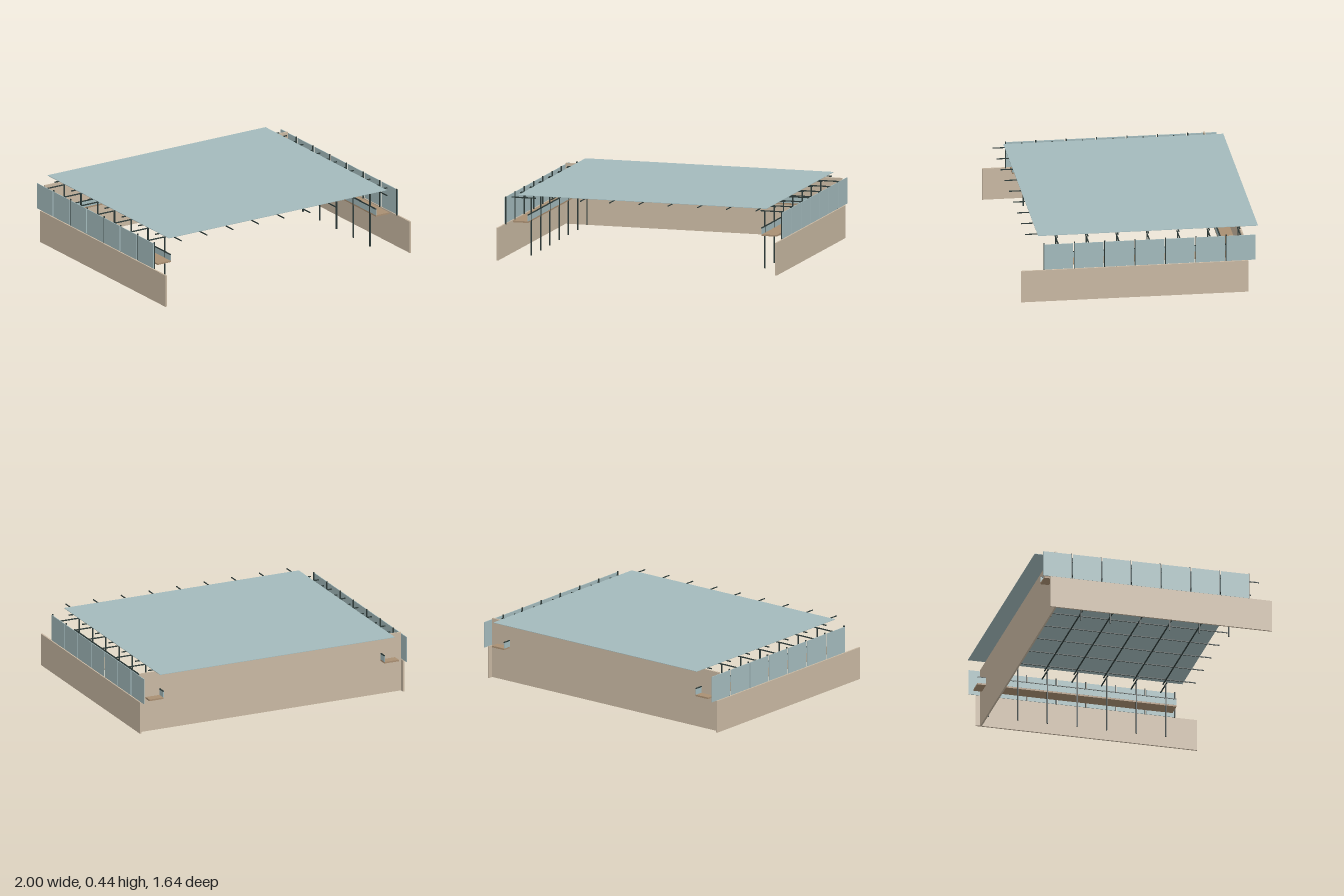
import * as THREE from 'three';

const mat = (name, color, side = THREE.FrontSide) => {
  const m = new THREE.MeshStandardMaterial({ color, side });
  m.name = name;
  return m;
};

export function createModel() {
  const model = new THREE.Group();
  model.name = 'glazedHall';
  const masonry = mat('tan masonry', 0xc8b8a2);
  const glass = mat('pale blue glass', 0xa3babc);
  const timber = mat('brown timber', 0xa98f72);
  const steel = mat('dark steel', 0x2e3b39);

  // Box given by its limits along each axis
  const box = (name, material, [x0, x1], [y0, y1], [z0, z1]) => {
    const mesh = new THREE.Mesh(
      new THREE.BoxGeometry(Math.abs(x1 - x0), y1 - y0, z1 - z0), material);
    mesh.position.set((x0 + x1) / 2, (y0 + y1) / 2, (z0 + z1) / 2);
    mesh.name = name;
    model.add(mesh);
  };
  const around = (c, w) => [c - w / 2, c + w / 2];

  const bay = 0.209;
  const frames = Array.from({ length: 7 }, (_, i) => 0.559 - i * bay);

  // Back wall
  box('backWall', masonry, [-0.988, 0.988], [0, 0.42], [-0.71, -0.698]);

  for (const s of [1, -1]) {
    const side = s > 0 ? 'left' : 'right';
    const span = (a, b) => (s > 0 ? [a, b] : [-b, -a]);

    // Low side wall with a glazed band on top
    box(side + 'Wall', masonry, span(0.988, 1), [0, 0.226], [-0.742, 0.82]);
    for (let i = 0; i < 7; i++) {
      const z = 0.66 - i * bay;
      box(side + 'WindowPane', glass, span(0.99, 0.995), [0.229, 0.41], [z - 0.198, z]);
      box(side + 'Mullion', steel, span(0.982, 0.99), [0.224, 0.417], around(z + 0.001, 0.007));
    }

    // Gallery floor, balustrade and handrail
    box(side + 'GalleryFloor', timber, span(0.835, 0.943), [0.236, 0.247], [-0.77, 0.634]);
    box(side + 'Balustrade', glass, span(0.834, 0.838), [0.247, 0.289], [-0.77, 0.634]);
    box(side + 'Handrail', steel, span(0.832, 0.84), [0.288, 0.294], [-0.77, 0.634]);

    // Columns with short cross brackets
    for (const z of frames) {
      box(side + 'Column', steel, span(0.831, 0.839), [0, 0.395], around(z, 0.008));
      box(side + 'Bracket', steel, span(0.803, 0.975), [0.393, 0.4], around(z, 0.007));
    }
  }

  // Rear gallery joining the two sides
  box('rearGalleryFloor', timber, [-0.835, 0.835], [0.236, 0.247], [-0.698, -0.59]);
  box('rearBalustrade', glass, [-0.834, 0.834], [0.247, 0.289], [-0.594, -0.59]);
  box('rearHandrail', steel, [-0.834, 0.834], [0.288, 0.294], [-0.596, -0.588]);

  // Roof beams in both directions
  for (let i = -4; i <= 4; i++)
    box('roofPurlin', steel, around(i * bay, 0.006), [0.428, 0.434], [-0.698, 0.77]);
  for (const z of frames)
    box('roofCrossBeam', steel, [-0.914, 0.914], [0.426, 0.433], around(z, 0.007));

  // Glass roof sheet
  box('roofSheet', glass, [-0.887, 0.887], [0.434, 0.437], [-0.824, 0.688]);

  return model;
}
